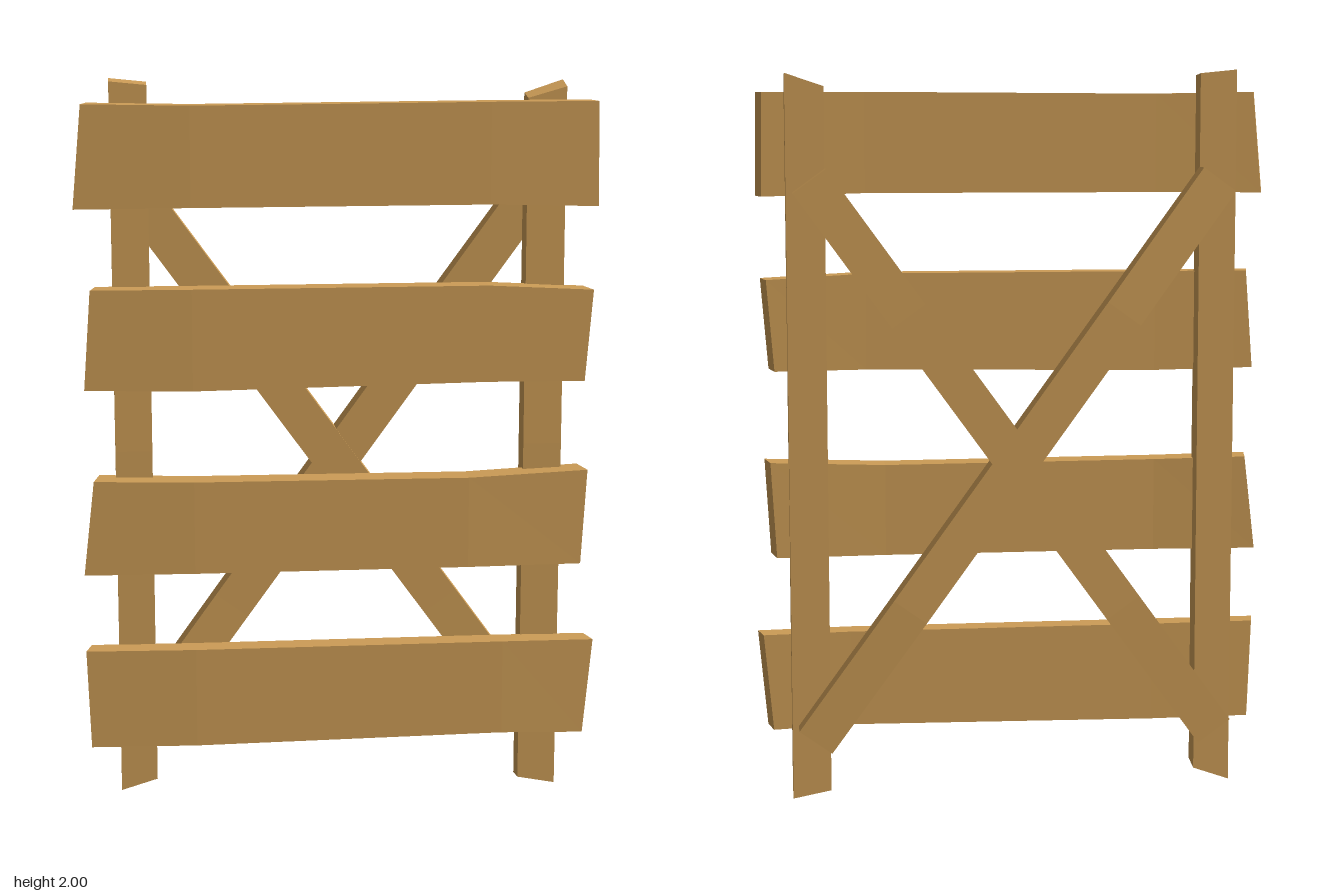
import * as THREE from 'three';

const wood = new THREE.MeshStandardMaterial({ color: 0xcc9c56 });
wood.name = 'wood';
wood.flatShading = true;

// Timber lofted through four-cornered sections, counterclockwise about the travel direction
function timber(name, sections) {
  const pos = [];
  const quad = (a, b, c, d) => pos.push(...a, ...b, ...c, ...a, ...c, ...d);
  for (let s = 0; s < sections.length - 1; s++) {
    const p = sections[s], q = sections[s + 1];
    for (let i = 0; i < 4; i++) {
      const j = (i + 1) % 4;
      quad(p[i], p[j], q[j], q[i]);
    }
  }
  const first = sections[0], last = sections[sections.length - 1];
  quad(first[3], first[2], first[1], first[0]);
  quad(last[0], last[1], last[2], last[3]);
  const geo = new THREE.BufferGeometry();
  geo.setAttribute('position', new THREE.Float32BufferAttribute(pos, 3));
  geo.computeVertexNormals();
  const mesh = new THREE.Mesh(geo, wood);
  mesh.name = name;
  return mesh;
}

// Plank along x; each section is [xTop, xBottom, yTop, yBottom, zFront, zBack]
function plank(name, rows) {
  return timber(name, rows.map(([xt, xb, yt, yb, zf, zb], i) => {
    const inset = i === 0 ? 0.015 : i === rows.length - 1 ? -0.015 : 0;
    return [[xt, yt, zf], [xb, yb, zf], [xb + inset, yb, zb], [xt + inset, yt, zb]];
  }));
}

// Upright section: corner heights go front +x, back +x, back -x, front -x
const upright = (x0, x1, z0, z1, y) => [
  [x1, y[0], z1], [x1, y[1], z0], [x0, y[2], z0], [x0, y[3], z1],
];

export function createModel() {
  const group = new THREE.Group();
  group.name = 'woodenBarrier';

  // Four hand-cut planks, slightly bowed
  group.add(
    plank('topPlank', [
      [-0.685, -0.71, 1.94, 1.665, 0.098, 0.035], [-0.4, -0.4, 1.935, 1.667, 0.107, 0.04],
      [0.4, 0.4, 1.94, 1.668, 0.107, 0.04], [0.69, 0.695, 1.94, 1.66, 0.1, 0.033]]),
    plank('upperPlank', [
      [-0.67, -0.69, 1.45, 1.18, 0.1, 0.03], [-0.4, -0.4, 1.45, 1.175, 0.108, 0.035],
      [0.4, 0.4, 1.45, 1.187, 0.108, 0.035], [0.685, 0.665, 1.435, 1.185, 0.108, 0.028]]),
    plank('lowerPlank', [
      [-0.67, -0.7, 0.93, 0.67, 0.1, 0.015], [-0.4, -0.4, 0.925, 0.67, 0.11, 0.03],
      [0.35, 0.35, 0.922, 0.67, 0.11, 0.03], [0.68, 0.665, 0.935, 0.67, 0.1, 0.018]]),
    plank('bottomPlank', [
      [-0.7, -0.69, 0.455, 0.18, 0.1, 0.038], [-0.4, -0.4, 0.453, 0.178, 0.107, 0.04],
      [0.45, 0.45, 0.453, 0.188, 0.107, 0.04], [0.705, 0.68, 0.45, 0.18, 0.1, 0.036]]),
  );

  // Two posts with skewed sawn ends
  group.add(
    timber('rightPost', [
      upright(-0.61, -0.51, -0.03, 0.038, [0.06, 0.05, 0.015, 0.03]),
      upright(-0.61, -0.51, -0.03, 0.045, [1, 1, 1, 1]),
      upright(-0.61, -0.51, -0.03, 0.035, [1.985, 1.99, 2, 1.995])]),
    timber('leftPost', [
      upright(0.51, 0.615, -0.03, 0.038, [0.01, 0, 0.02, 0.03]),
      upright(0.51, 0.615, -0.03, 0.045, [1, 1, 1, 1]),
      upright(0.51, 0.615, -0.03, 0.035, [1.975, 1.99, 1.955, 1.945])]),
  );

  // Crossed braces behind the posts, lapped at the middle
  for (const [name, side, z] of [['risingBrace', 1, -0.037], ['fallingBrace', -1, -0.03]]) {
    const half = 0.945, w = 0.055;
    const level = (y) => [y, y, y, y];
    const brace = timber(name, [
      upright(-w, w, -0.062, 0, level(-half)),
      upright(-w, w, -0.075, -0.004, level(-0.5)),
      upright(-w, w, -0.075, -0.004, level(0.5)),
      upright(-w, w, -0.065, 0, level(half))]);
    brace.position.set(0, 0.94, z);
    brace.rotation.z = -side * 0.626;
    group.add(brace);
  }
  return group;
}
